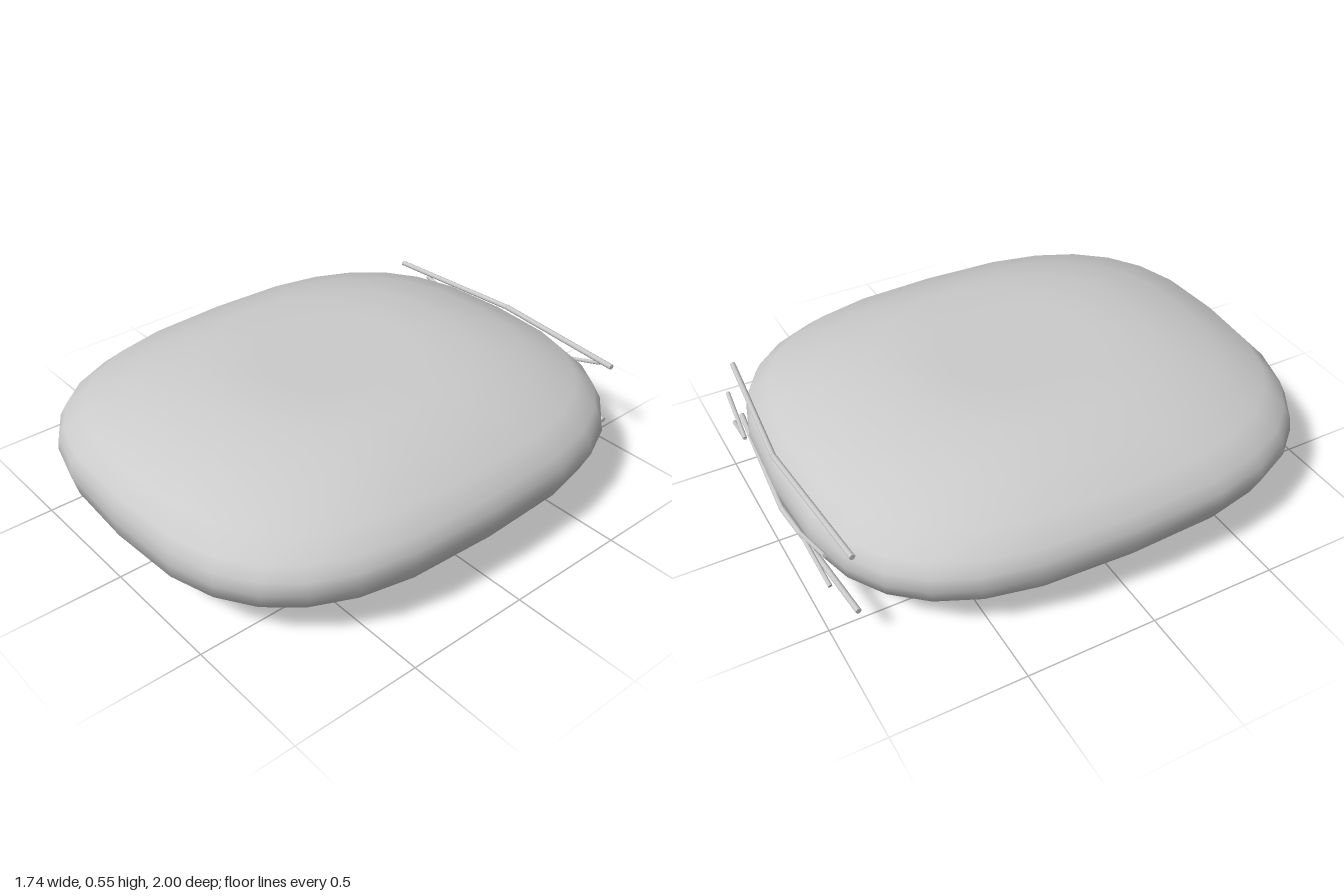
import * as THREE from 'three';

const material = new THREE.MeshStandardMaterial({ color: 0xcccccc });

// Pillow body: superellipse rings [y, half width, half depth, exponent]
function bodyGeometry() {
  const rings = [
    [0, 0, 0, 2.3], [0, 0.26, 0.3, 2.3], [0, 0.48, 0.55, 2.3],
    [0.06, 0.64, 0.76, 2.5], [0.12, 0.78, 0.92, 2.75], [0.185, 0.84, 0.985, 2.9],
    [0.26, 0.87, 1, 3], [0.31, 0.86, 0.995, 3], [0.36, 0.84, 0.98, 2.9],
    [0.425, 0.77, 0.92, 2.75], [0.49, 0.63, 0.76, 2.5],
    [0.545, 0.47, 0.53, 2.3], [0.545, 0.26, 0.3, 2.3], [0.545, 0, 0, 2.3],
  ];
  const sides = 28;
  const positions = [];
  const index = [];
  const bend = (v, n) => Math.sign(v) * Math.pow(Math.abs(v), 2 / n);
  rings.forEach(([y, w, d, n], r) => {
    for (let i = 0; i < sides; i++) {
      const t = (i / sides) * Math.PI * 2;
      const z = d * bend(Math.sin(t), n);
      positions.push(w * bend(Math.cos(t), n), y, z < 0 ? z * 0.985 : z);
      if (r === rings.length - 1) continue;
      const a = r * sides + i;
      const b = r * sides + ((i + 1) % sides);
      index.push(a, a + sides, b, b, a + sides, b + sides);
    }
  });
  const geometry = new THREE.BufferGeometry();
  geometry.setAttribute('position', new THREE.Float32BufferAttribute(positions, 3));
  geometry.setIndex(index);
  geometry.computeVertexNormals();
  return geometry;
}

// Thin capped rod following a list of points
function rod(name, points, radius) {
  const group = new THREE.Group();
  group.name = name;
  const up = new THREE.Vector3(0, 1, 0);
  for (let i = 0; i < points.length - 1; i++) {
    const a = new THREE.Vector3(...points[i]);
    const b = new THREE.Vector3(...points[i + 1]);
    const dir = b.clone().sub(a);
    const mesh = new THREE.Mesh(new THREE.CylinderGeometry(radius, radius, dir.length(), 8), material);
    mesh.name = name + 'Segment';
    mesh.position.copy(a).add(b).multiplyScalar(0.5);
    mesh.quaternion.setFromUnitVectors(up, dir.normalize());
    group.add(mesh);
  }
  return group;
}

export function createModel() {
  const model = new THREE.Group();
  model.name = 'cushion';

  const body = new THREE.Mesh(bodyGeometry(), material);
  body.name = 'cushionBody';
  model.add(body);

  // Bent rails across the back
  for (const [name, y] of [['upperRail', 0.4], ['lowerRail', 0.15]]) {
    model.add(rod(name, [[-0.6, y, -0.92], [0, y, -0.97], [0.6, y, -0.92]], 0.011));
  }

  // V-shaped wires between the rails
  for (const [name, s] of [['leftWire', 1], ['rightWire', -1]]) {
    model.add(rod(name, [[0.5 * s, 0.35, -0.98], [0.29 * s, 0.28, -0.992], [0.5 * s, 0.205, -0.975]], 0.008));
  }
  return model;
}
